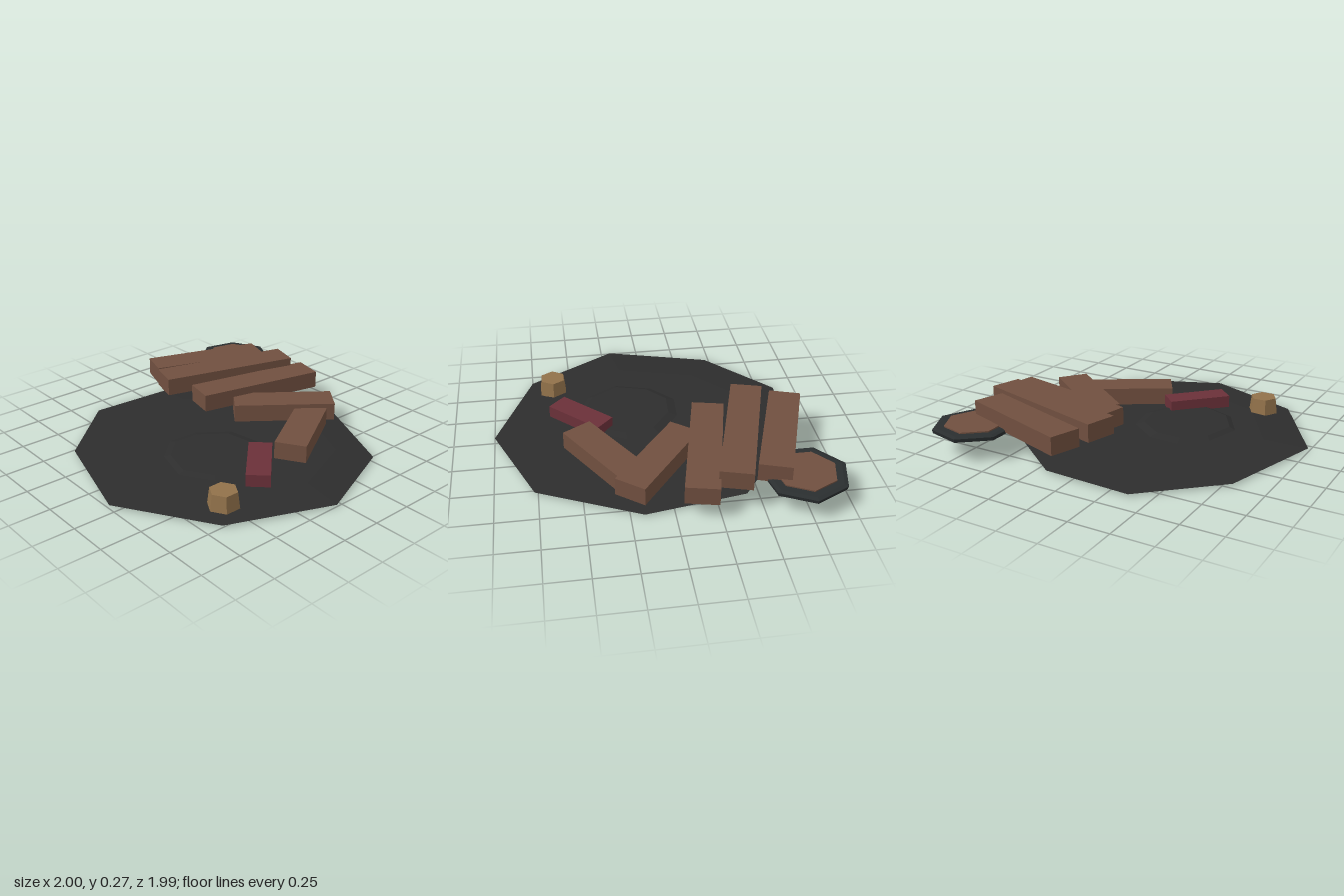
import * as THREE from 'three';

const mat = (name, color, extra = {}) => {
  const m = new THREE.MeshStandardMaterial({ color, flatShading: true, ...extra });
  m.name = name;
  return m;
};

// closed solid through stacked rings, bottom to top; each ring is a list of [x, z] at height y
function loft(rings) {
  const pos = [];
  const tri = (...pts) => pts.forEach((p) => pos.push(...p));
  const loops = rings.map(({ y, pts }) => pts.map(([x, z]) => [x, y, z]));
  const n = loops[0].length;
  const middle = (l) => [0, 1, 2].map((k) => l.reduce((s, p) => s + p[k], 0) / n);
  const low = loops[0], high = loops[loops.length - 1];
  for (let i = 0; i < n; i++) {
    const j = (i + 1) % n;
    tri(middle(low), low[i], low[j]);
    tri(middle(high), high[j], high[i]);
    for (let r = 0; r < loops.length - 1; r++) {
      const a = loops[r], b = loops[r + 1];
      tri(a[i], b[i], a[j]);
      tri(a[j], b[i], b[j]);
    }
  }
  const g = new THREE.BufferGeometry();
  g.setAttribute('position', new THREE.Float32BufferAttribute(pos, 3));
  g.computeVertexNormals();
  return g;
}

const scaled = (pts, s, cx, cz) => pts.map(([x, z]) => [cx + (x - cx) * s, cz + (z - cz) * s]);

export function createModel() {
  const group = new THREE.Group();
  const charcoal = mat('charcoal', 0x2d2d2d);
  const slate = mat('slate', 0x2a2e2f);
  const wood = mat('wood', 0x704f3f);
  const maroon = mat('maroon', 0x6b3039);
  const tan = mat('tan', 0x91714a);

  const add = (name, geometry, material) => {
    const m = new THREE.Mesh(geometry, material);
    m.name = name;
    group.add(m);
    return m;
  };

  // box lying between the middles of its two ends, given as [x, z]
  const bar = (name, [x0, z0], [x1, z1], width, y0, y1, material) => {
    const dx = x1 - x0, dz = z1 - z0;
    const m = add(name, new THREE.BoxGeometry(width, y1 - y0, Math.hypot(dx, dz)), material);
    m.position.set((x0 + x1) / 2, (y0 + y1) / 2, (z0 + z1) / 2);
    m.rotation.y = Math.atan2(dx, dz);
  };

  // wide irregular ground patch with a thin bevelled rim
  const patch = [[0.17, -0.81], [0.77, -0.53], [1, 0.04], [0.75, 0.65], [0.19, 0.99],
    [-0.47, 0.8], [-0.86, 0.37], [-0.83, -0.18], [-0.43, -0.71]];
  add('groundPatch', loft([
    { y: 0, pts: scaled(patch, 0.85, 0.07, 0.06) },
    { y: 0.012, pts: patch },
    { y: 0.03, pts: scaled(patch, 0.74, 0.04, -0.05) },
  ]), charcoal);

  // low mound on the patch
  const mound = scaled(patch, 0.38, 0.2, 0.26);
  add('lowMound', loft([
    { y: 0.02, pts: mound },
    { y: 0.045, pts: scaled(mound, 0.78, 0.2, 0.26) },
  ]), charcoal);

  // raised stone disc with a wooden inlay at the back corner
  const disc = [[-0.75, -1], [-0.55, -0.9], [-0.505, -0.69], [-0.63, -0.52],
    [-0.86, -0.52], [-1, -0.69], [-0.95, -0.9]];
  add('raisedDisc', loft([
    { y: 0.133, pts: scaled(disc, 0.98, -0.75, -0.74) },
    { y: 0.155, pts: disc },
    { y: 0.162, pts: scaled(disc, 0.9, -0.75, -0.74) },
  ]), slate);
  const inlay = scaled(disc, 0.73, -0.75, -0.735);
  add('discInlay', loft([{ y: 0.162, pts: inlay }, { y: 0.17, pts: inlay }]), wood);

  // planks stepping down from the disc to the patch: back end, front end, width, bottom, top
  [
    [[-0.56, -0.79], [-0.805, -0.06], 0.193, 0.145, 0.255],
    [[-0.33, -0.838], [-0.58, 0.03], 0.193, 0.16, 0.27],
    [[-0.135, -0.88], [-0.32, -0.06], 0.196, 0.108, 0.218],
    [[0.243, -0.722], [-0.15, -0.215], 0.196, 0.055, 0.167],
    [[0.212, -0.565], [0.497, -0.092], 0.196, 0.03, 0.14],
  ].forEach((p, i) => bar('plank' + (i + 1), ...p, wood));

  // small maroon block
  bar('maroonBlock', [0.315, -0.02], [0.6, 0.26], 0.143, 0.03, 0.106, maroon);

  // six-sided tapered stub
  const stub = add('hexStub', new THREE.CylinderGeometry(0.083, 0.096, 0.1, 6), tan);
  stub.position.set(0.613, 0.073, 0.527);

  return group;
}
